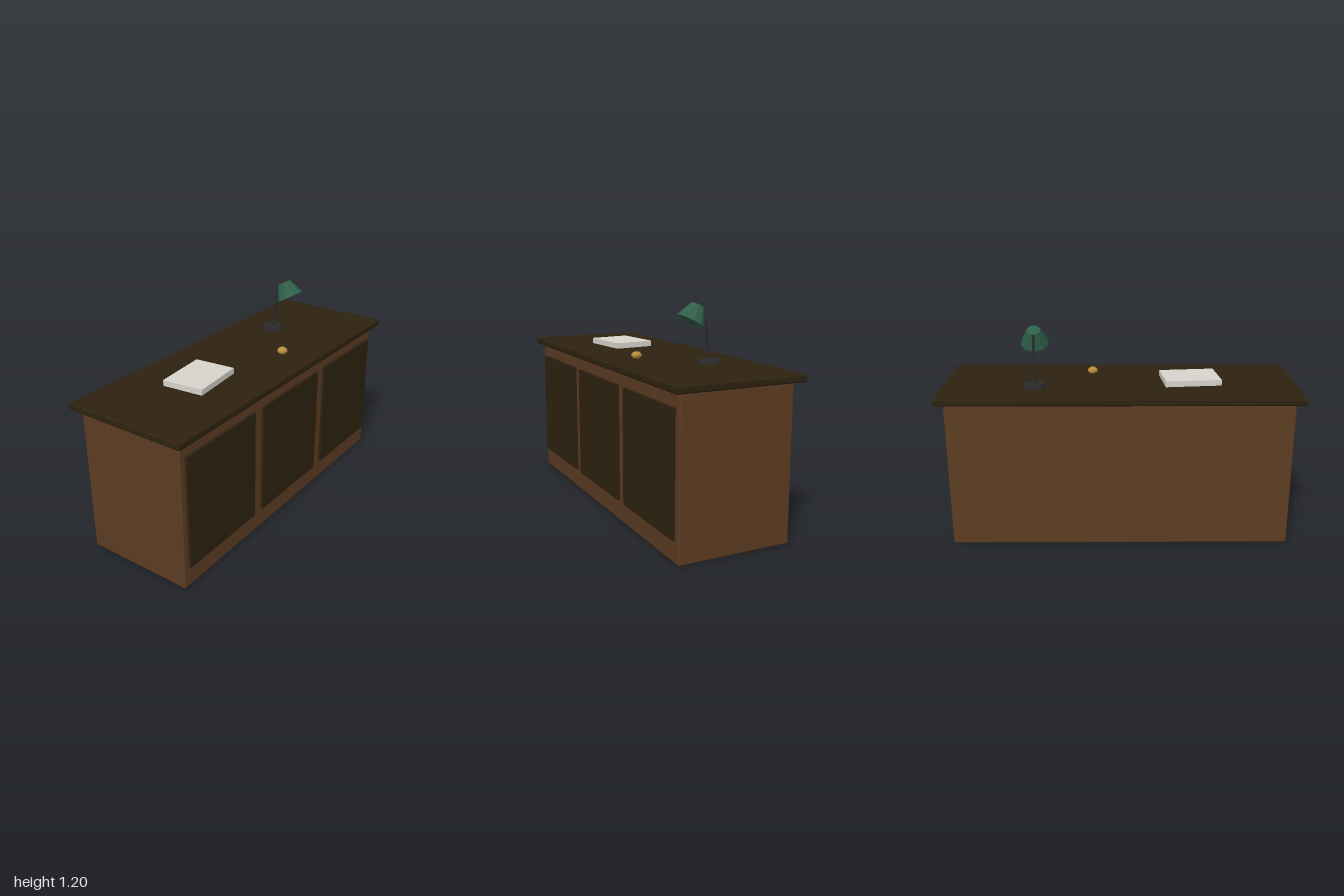
import * as THREE from 'three';
import { RoundedBoxGeometry } from 'three/addons/geometries/RoundedBoxGeometry.js';

function material(name, color, flatShading = false) {
  const m = new THREE.MeshStandardMaterial({ color, flatShading });
  m.name = name;
  return m;
}

export function createModel() {
  const desk = new THREE.Group();
  desk.name = 'desk';

  const wood = material('brown wood', 0x5c3c22);
  const darkWood = material('dark wood', 0x2e2210);
  const paper = material('paper', 0xd6d4cc);
  const brass = material('brass', 0xb8903c, true);
  const iron = material('dark iron', 0x2a2a2c, true);
  const green = material('green enamel', 0x2f5f4a, true);

  const add = (name, geometry, mat, x, y, z, parent = desk) => {
    const mesh = new THREE.Mesh(geometry, mat);
    mesh.name = name;
    mesh.position.set(x, y, z);
    parent.add(mesh);
    return mesh;
  };

  // Cabinet and overhanging top
  add('cabinet', new RoundedBoxGeometry(1.91, 0.84, 0.636, 2, 0.01), wood, 0, 0.42, 0);
  add('deskTop', new RoundedBoxGeometry(2, 0.04, 0.72, 2, 0.01), darkWood, 0, 0.86, 0);

  // Three raised front panels
  for (const i of [-1, 0, 1]) {
    add('frontPanel', new THREE.BoxGeometry(0.56, 0.643, 0.03), darkWood, i * 0.638, 0.442, 0.318);
  }

  // Stack of paper, slightly turned
  const stack = add('paperStack', new THREE.BoxGeometry(0.318, 0.034, 0.24), paper, -0.402, 0.896, -0.004);
  stack.rotation.y = 0.1;

  // Small brass bell
  const bell = add('bell', new THREE.SphereGeometry(0.03, 10, 6), brass, 0.16, 0.897, 0.158);
  bell.scale.y = 0.7;

  // Desk lamp
  const lamp = new THREE.Group();
  lamp.name = 'lamp';
  lamp.position.set(0.48, 0.88, -0.12);
  desk.add(lamp);
  add('lampBase', new THREE.CylinderGeometry(0.06, 0.064, 0.018, 16), iron, 0, 0.008, 0, lamp);

  // Leaning stem from the base to the back of the shade
  const foot = new THREE.Vector3(0, 0.005, 0);
  const head = new THREE.Vector3(0, 0.285, 0.04);
  const lean = head.clone().sub(foot);
  const middle = foot.clone().add(head).multiplyScalar(0.5);
  const stem = add('lampStem', new THREE.CylinderGeometry(0.007, 0.007, lean.length(), 8),
    iron, middle.x, middle.y, middle.z, lamp);
  stem.quaternion.setFromUnitVectors(new THREE.Vector3(0, 1, 0), lean.normalize());

  // Faceted shade tipped forward
  const shade = add('lampShade', new THREE.CylinderGeometry(0.039, 0.08, 0.092, 10), green, 0, 0.265, 0.098, lamp);
  shade.rotation.x = -0.51;

  return desk;
}
